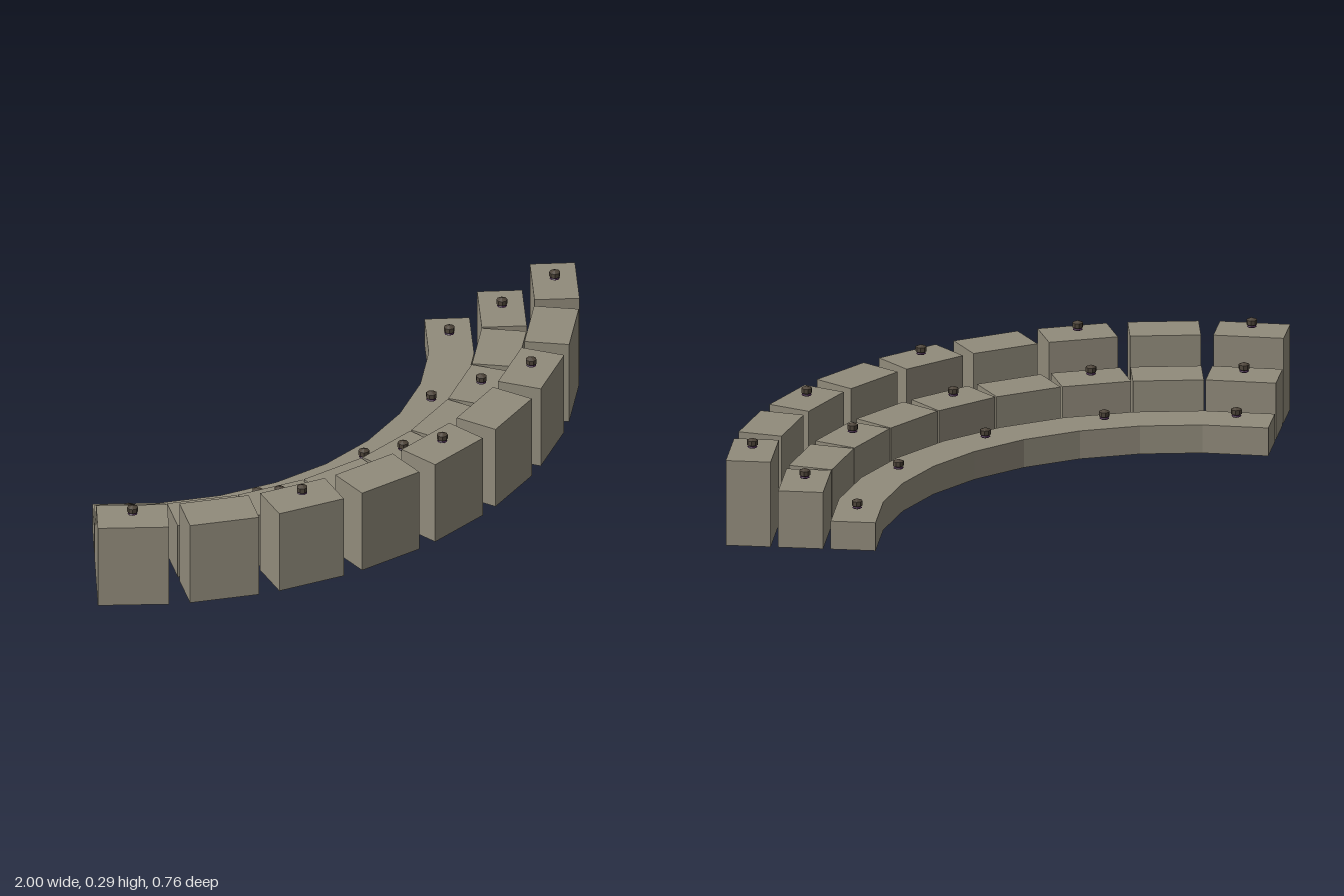
import * as THREE from 'three';

export function createModel() {
  const model = new THREE.Group();
  model.name = 'curvedTerraces';

  const stone = new THREE.MeshStandardMaterial({ color: 0x918b7b });
  stone.name = 'stone';
  const knobBrown = new THREE.MeshStandardMaterial({ color: 0x4d4439 });
  knobBrown.name = 'darkBrown';
  const plum = new THREE.MeshStandardMaterial({ color: 0x3a2040 });
  plum.name = 'darkPlum';
  knobBrown.flatShading = plum.flatShading = true;

  // All rows share one arc centre and one angular step
  const centreZ = -0.916, step = 0.2, blockWidth = 0.2, blockDepth = 0.127;
  const rows = [
    { name: 'backRow', radius: 0.936, height: 0.083 },
    { name: 'middleRow', radius: 1.0845, height: 0.167 },
    { name: 'frontRow', radius: 1.233, height: 0.251 },
  ];

  // Small marker: flat disc with a faceted knob above it
  const knobGeometry = new THREE.SphereGeometry(0.0178, 8, 3);
  knobGeometry.scale(1, 0.76, 1);
  const discGeometry = new THREE.SphereGeometry(0.0145, 8, 4);
  discGeometry.scale(1, 0.26, 1);

  function marker() {
    const group = new THREE.Group();
    group.name = 'marker';
    const disc = new THREE.Mesh(discGeometry, plum);
    disc.name = 'markerDisc';
    disc.position.y = 0.0105;
    const knob = new THREE.Mesh(knobGeometry, knobBrown);
    knob.name = 'markerKnob';
    knob.position.y = 0.0235;
    group.add(disc, knob);
    return group;
  }

  // Nine blocks per row, with a marker on every other block
  for (const { name, radius, height } of rows) {
    const row = new THREE.Group();
    row.name = name;
    const blockGeometry = new THREE.BoxGeometry(blockWidth, height, blockDepth);
    blockGeometry.translate(0, height / 2, 0);
    for (let i = -4; i <= 4; i++) {
      const angle = i * step;
      const place = new THREE.Group();
      place.name = 'seatBlock';
      place.position.set(radius * Math.sin(angle), 0, centreZ + radius * Math.cos(angle));
      place.rotation.y = angle;
      const block = new THREE.Mesh(blockGeometry, stone);
      block.name = 'block';
      place.add(block);
      if (i % 2 === 0) {
        const m = marker();
        m.position.y = height;
        place.add(m);
      }
      row.add(place);
    }
    model.add(row);
  }
  return model;
}
